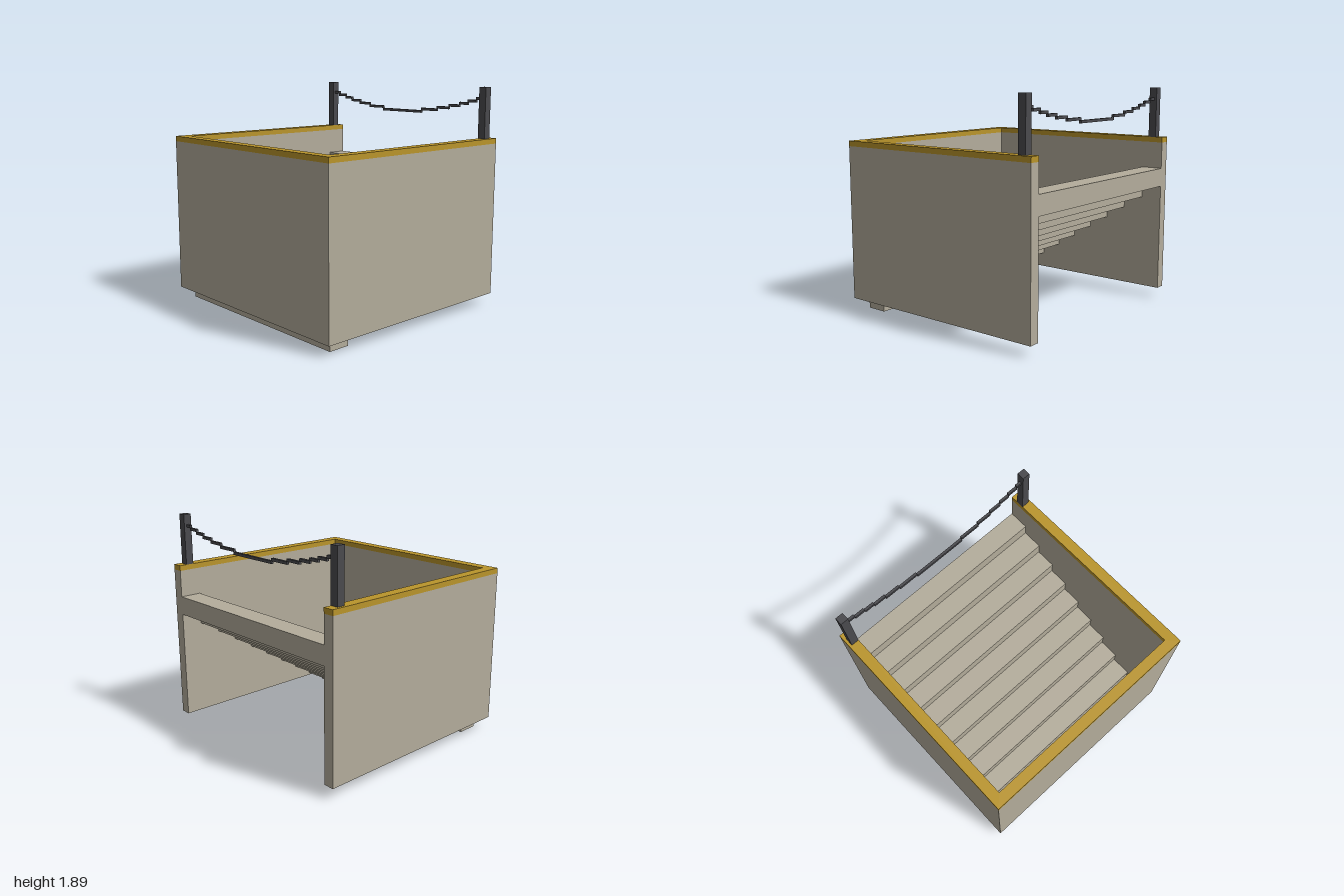
import * as THREE from 'three';

export function createModel() {
  const model = new THREE.Group();
  model.name = 'stairwellEntrance';

  const mat = (name, color) => {
    const m = new THREE.MeshStandardMaterial({ color });
    m.name = name;
    return m;
  };
  const concrete = mat('concrete', 0xb4ad9c);
  const gold = mat('goldTrim', 0xba952b);
  const iron = mat('darkIron', 0x4a4a4e);
  const dark = mat('darkOpening', 0x0a0a1c);

  // Box given by its minimum and maximum corners
  const box = (name, material, x0, x1, y0, y1, z0, z1, parent = model) => {
    const mesh = new THREE.Mesh(new THREE.BoxGeometry(x1 - x0, y1 - y0, z1 - z0), material);
    mesh.position.set((x0 + x1) / 2, (y0 + y1) / 2, (z0 + z1) / 2);
    mesh.name = name;
    parent.add(mesh);
    return mesh;
  };

  const inner = 0.909, halfZ = 0.955, frontZ = 0.864;

  // U-shaped layer: two sides and a front, open at the back
  const uLayer = (name, material, y0, y1) => {
    const s = new THREE.Shape([
      [-1, halfZ], [1, halfZ], [1, -halfZ], [inner, -halfZ],
      [inner, frontZ], [-inner, frontZ], [-inner, -halfZ], [-1, -halfZ],
    ].map(([x, z]) => new THREE.Vector2(x, -z)));
    const geo = new THREE.ExtrudeGeometry(s, { depth: y1 - y0, bevelEnabled: false });
    geo.rotateX(-Math.PI / 2);
    const mesh = new THREE.Mesh(geo, material);
    mesh.position.y = y0;
    mesh.name = name;
    model.add(mesh);
  };
  uLayer('walls', concrete, 0.091, 1.41);
  uLayer('trim', gold, 1.41, 1.455);

  // Stairs descending from the open back to the front
  const stairs = new THREE.Group();
  stairs.name = 'stairs';
  model.add(stairs);
  const run = 0.1819, rise = 0.1136, thick = 0.159;
  for (let i = 0; i < 10; i++) {
    const y = (9 - i) * rise, z = -halfZ + i * run;
    box('step', concrete, -inner, inner, y, y + thick, z, z + run, stairs);
  }

  // Dark opening at the foot of the stairs
  box('openingBack', dark, -inner, inner, thick, 0.818, frontZ - 0.008, frontZ);
  box('openingFloor', dark, -inner, inner, thick, thick + 0.006, 0.773, frontZ - 0.008);

  // Posts on the side walls
  const postZ = -0.855;
  for (const side of [-1, 1]) {
    const post = box('post', iron, -0.034, 0.034, 1.455, 1.887, postZ - 0.034, postZ + 0.034);
    post.position.x = side * 0.943;
  }

  // Sagging chain of level links
  const chain = new THREE.Group();
  chain.name = 'chain';
  model.add(chain);
  const ends = [-0.91, -0.845, -0.752, -0.662, -0.55, -0.412, -0.23,
    0.248, 0.43, 0.566, 0.678, 0.77, 0.86, 0.91];
  for (let i = 0; i < 13; i++) {
    const y = 1.649 + Math.abs(i - 6) * 0.0232;
    box('chainLink', iron, ends[i], ends[i + 1], y - 0.0115, y + 0.0115,
      postZ - 0.0115, postZ + 0.0115, chain);
  }

  return model;
}
